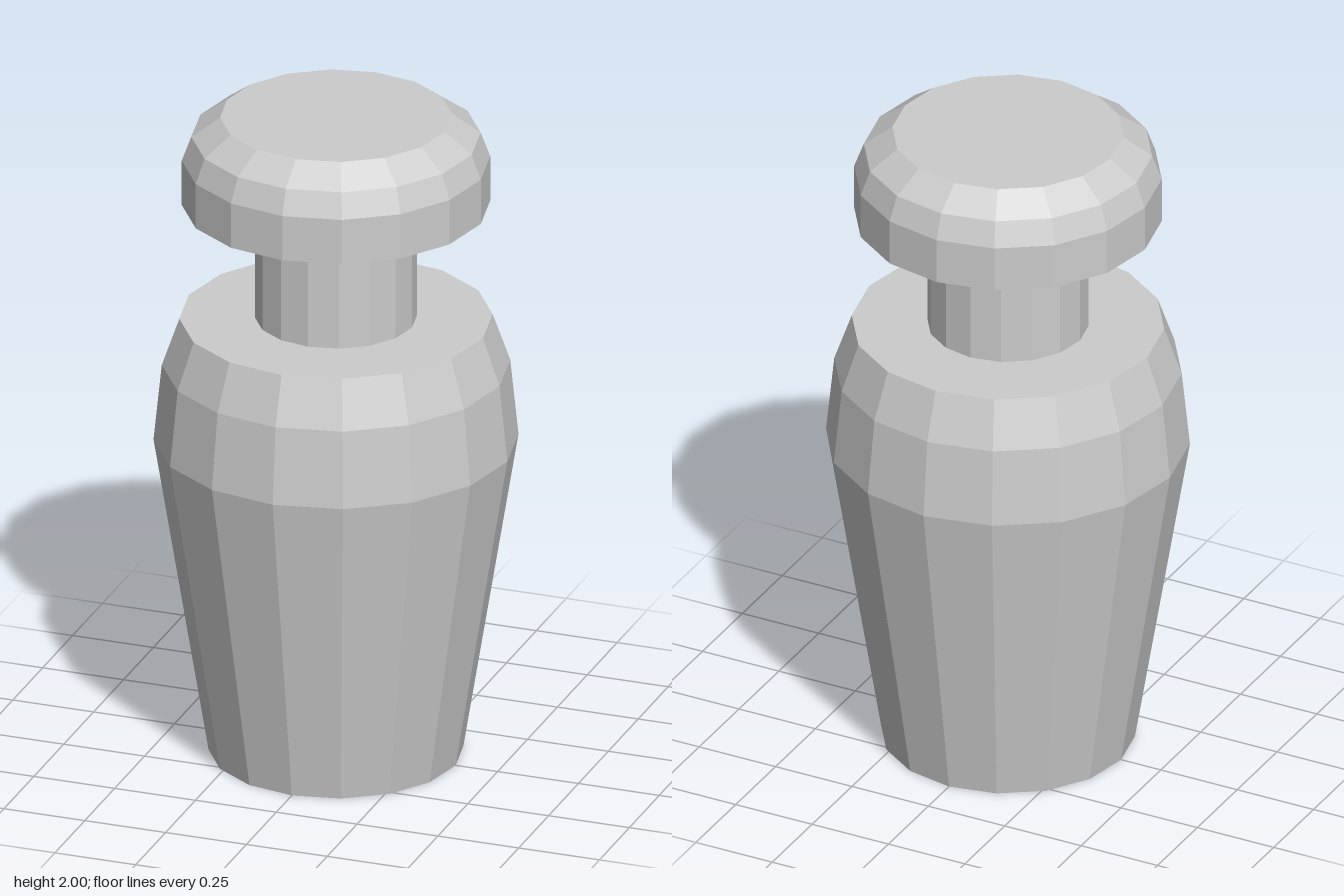
import * as THREE from 'three';

const SIDES = 16;

// Faceted turned part from [radius, height] pairs, listed bottom to top
function turned(name, profile, material) {
  const points = profile.map(([r, y]) => new THREE.Vector2(r, y));
  const mesh = new THREE.Mesh(new THREE.LatheGeometry(points, SIDES), material);
  mesh.name = name;
  return mesh;
}

export function createModel() {
  const group = new THREE.Group();
  group.name = 'stopperedJar';
  const material = new THREE.MeshStandardMaterial({ color: 0xcccccc, flatShading: true });

  // Tapered body with bevelled shoulder
  group.add(turned('body', [
    [0, 0], [0.37, 0], [0.53, 0.985], [0.506, 1.22], [0.455, 1.365], [0, 1.365],
  ], material));

  // Narrow neck, open where it meets body and cap
  group.add(turned('neck', [[0.235, 1.365], [0.235, 1.725]], material));

  // Rounded cap
  group.add(turned('cap', [
    [0, 1.725], [0.448, 1.725], [0.448, 1.865], [0.42, 1.94], [0.337, 2], [0, 2],
  ], material));

  return group;
}
